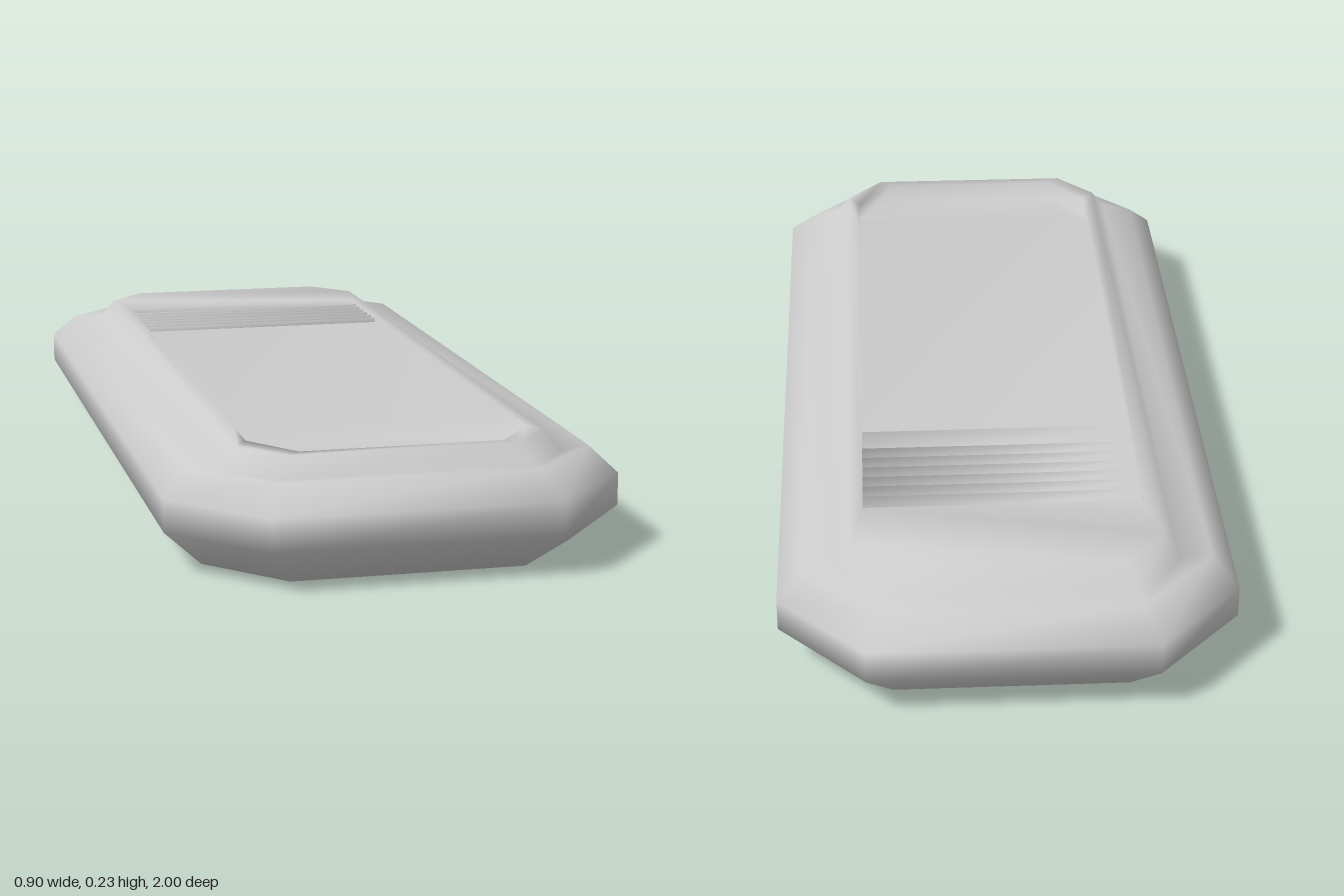
import * as THREE from 'three';
import { mergeGeometries, mergeVertices } from 'three/addons/utils/BufferGeometryUtils.js';

const material = new THREE.MeshStandardMaterial({ color: 0xcccccc });

// Ring of [x, z] points with clipped corners: half width, front, back, and the clip sizes
function octagon(hx, front, back, clipX, clipZ) {
  const cx = hx - clipX;
  return [
    [-cx, front], [cx, front], [hx, front - clipZ], [hx, back + clipZ],
    [cx, back], [-cx, back], [-hx, back + clipZ], [-hx, front - clipZ],
  ];
}

// Flat cap over a ring, facing up (1) or down (-1), with optional holes
function cap(ring, y, facing, holes = []) {
  const toPoints = (r) => r.map(([x, z]) => new THREE.Vector2(x, -facing * z));
  const shape = new THREE.Shape(toPoints(ring));
  for (const h of holes) shape.holes.push(new THREE.Path(toPoints(h)));
  return new THREE.ShapeGeometry(shape).rotateX(-facing * Math.PI / 2).translate(0, y, 0);
}

// Band of faces through [y, ring] layers
function band(layers) {
  const n = layers[0][1].length;
  const positions = [];
  const index = [];
  for (const [y, ring] of layers) for (const [x, z] of ring) positions.push(x, y, z);
  for (let k = 0; k < layers.length - 1; k++) {
    for (let i = 0; i < n; i++) {
      const a = k * n + i;
      const b = k * n + (i + 1) % n;
      index.push(a, b, b + n, a, b + n, a + n);
    }
  }
  const geometry = new THREE.BufferGeometry();
  geometry.setAttribute('position', new THREE.Float32BufferAttribute(positions, 3));
  geometry.setIndex(index);
  return geometry;
}

// Weld pieces into one smoothly shaded skin
function weld(pieces) {
  for (const piece of pieces) {
    piece.deleteAttribute('normal');
    piece.deleteAttribute('uv');
  }
  const geometry = mergeVertices(mergeGeometries(pieces), 1e-4);
  geometry.computeVertexNormals();
  return geometry;
}

export function createModel() {
  const group = new THREE.Group();
  const add = (name, geometry) => {
    const mesh = new THREE.Mesh(geometry, material);
    mesh.name = name;
    group.add(mesh);
  };

  const topY = 0.235;
  const ceilingY = 0.11;
  const floorY = 0.195;
  const topRing = octagon(0.305, 0.89, -0.85, 0.08, 0.09);
  const ceilingRing = octagon(0.32, 0.765, -0.865, 0.125, 0.125);
  const pocketRing = [[-0.2, 0.865], [0.2, 0.865], [0.28, 0.76], [0.28, 0.65], [-0.28, 0.65], [-0.28, 0.76]];
  const ventRing = [[-0.28, -0.34], [0.28, -0.34], [0.28, -0.635], [-0.28, -0.635]];

  add('casing', weld([
    // Hollow underside, flat rim, bevelled sides and raised top panel
    cap(ceilingRing, ceilingY, -1),
    band([
      [ceilingY, ceilingRing],
      [0, octagon(0.335, 0.78, -0.88, 0.13, 0.13)],
      [0, octagon(0.37, 0.92, -0.92, 0.14, 0.15)],
      [0.08, octagon(0.45, 1, -1, 0.17, 0.18)],
      [0.145, octagon(0.45, 1, -1, 0.17, 0.18)],
      [0.195, octagon(0.4, 0.94, -0.94, 0.15, 0.16)],
      [0.195, octagon(0.335, 0.915, -0.88, 0.09, 0.1)],
      [topY, topRing],
    ]),
    cap(topRing, topY, 1, [pocketRing, ventRing]),
    // Finger pocket at the front end
    band([[topY, pocketRing], [floorY, pocketRing]]),
    cap(pocketRing, floorY, 1),
    // Walls around the vent
    band([[topY, ventRing], [floorY, ventRing]]),
  ]));

  // Louvres: each slat rises toward the front and overhangs the next one
  const edges = [-0.635, -0.59, -0.553, -0.517, -0.48, -0.443, -0.406, -0.34];
  for (let i = 0; i < edges.length - 1; i++) {
    const back = edges[i];
    const front = edges[i + 1];
    const slat = new THREE.Shape([
      new THREE.Vector2(0.012 - back, floorY - 0.005), new THREE.Vector2(0.012 - back, floorY),
      new THREE.Vector2(-front, topY - 0.002), new THREE.Vector2(0.012 - front, floorY - 0.005),
    ]);
    const geometry = new THREE.ExtrudeGeometry(slat, { depth: 0.56, bevelEnabled: false });
    add('ventSlat', weld([geometry.translate(0, 0, -0.28).rotateY(Math.PI / 2)]));
  }

  return group;
}
